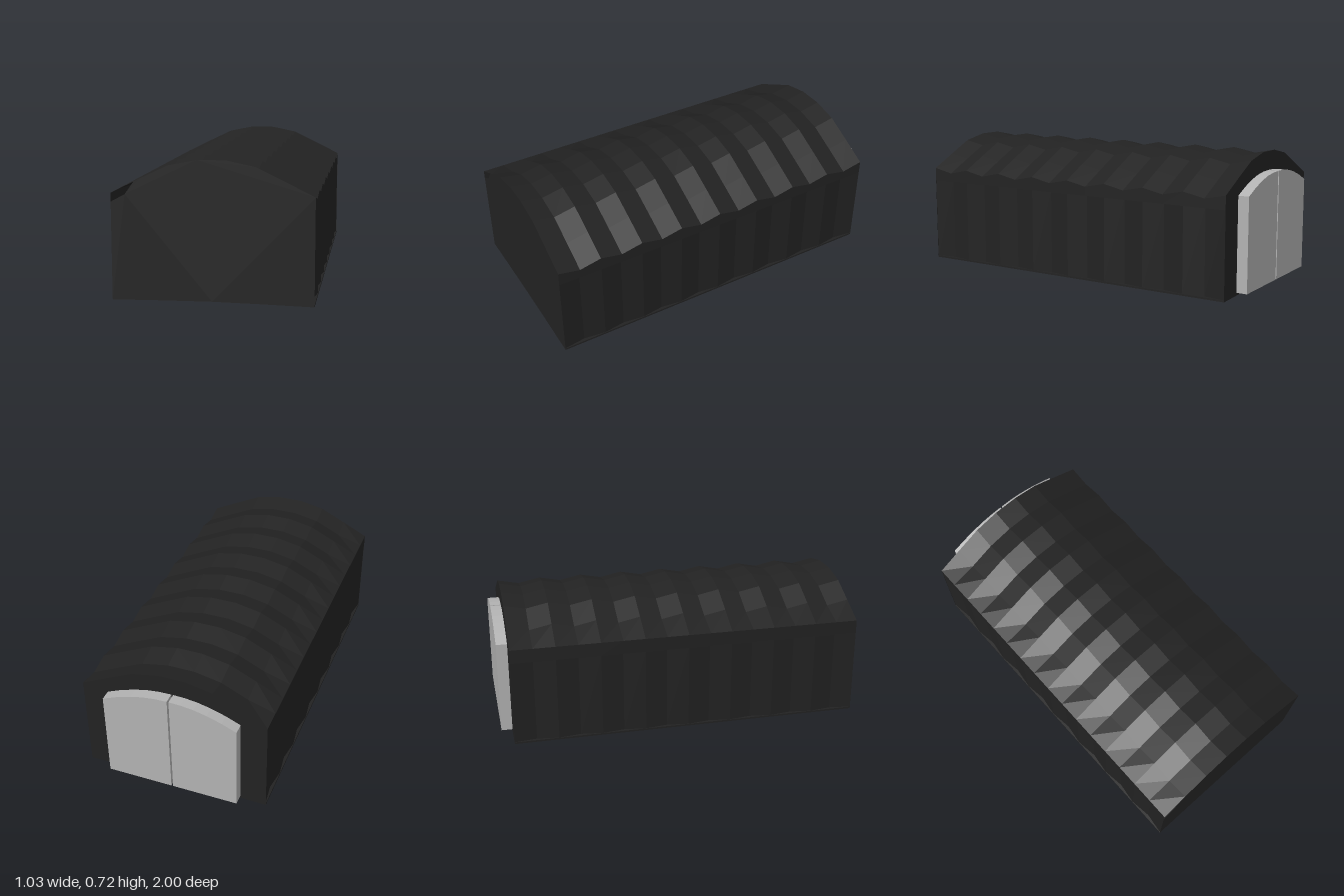
import * as THREE from 'three';

const HALF = 0.513, FRONT = 1, BACK = -0.94, WAVES = 8;
const EAVE = 0.55, BAND = 0.475, LIP = 0.012;
const ROOF = [[-HALF, EAVE], [-0.366, 0.623], [-0.22, 0.693], [-0.073, 0.723],
  [0.073, 0.723], [0.22, 0.693], [0.366, 0.623], [HALF, EAVE]];
const FLOOR = [[HALF, 0.002], [0.25, 0.007], [0, 0.01], [-0.25, 0.007], [-HALF, 0.002]];

// Faceted skin through cross-sections; section(valley) gives [x, y] points,
// valley is 0 on a ridge of the corrugation and 1 in a groove
function loft(section, rings) {
  const pos = [], index = [];
  let n = 0;
  for (let i = 0; i <= rings; i++) {
    const z = FRONT + (BACK - FRONT) * i / rings;
    const pts = section(i % 2);
    n = pts.length;
    for (const [x, y] of pts) pos.push(x, y, z);
  }
  for (let i = 0; i < rings; i++) {
    for (let j = 0; j < n - 1; j++) {
      const a = i * n + j, b = a + 1, c = a + n, d = c + 1;
      index.push(a, b, c, b, d, c);
    }
  }
  const indexed = new THREE.BufferGeometry();
  indexed.setAttribute('position', new THREE.Float32BufferAttribute(pos, 3));
  indexed.setIndex(index);
  const g = indexed.toNonIndexed();
  g.computeVertexNormals();
  return g;
}

const outline = pts => new THREE.Shape(pts.map(p => new THREE.Vector2(p[0], p[1])));

export function createModel() {
  const model = new THREE.Group();
  model.name = 'shelter';
  const shell = new THREE.MeshStandardMaterial({ color: 0x222222, side: THREE.DoubleSide });
  shell.name = 'charcoal';
  const panel = new THREE.MeshStandardMaterial({ color: 0xb2b2b2 });
  panel.name = 'light grey';

  const add = (name, geometry, material) => {
    const mesh = new THREE.Mesh(geometry, material);
    mesh.name = name;
    model.add(mesh);
    return mesh;
  };

  // Corrugated roof; one eave stays straight
  const rings = WAVES * 2;
  add('roof', loft(v => ROOF.map(([x, y], i) => [x, i === 0 ? y : y - 0.025 * v]), rings), shell);

  // Side walls: eave band, shallow vertical ribs and a thin sill
  for (const s of [1, -1]) {
    const wall = loft(v => {
      const inner = HALF - 0.002 - 0.016 * v;
      const pts = [[s * HALF, s > 0 ? EAVE - 0.025 * v : EAVE], [s * HALF, BAND],
        [s * inner, BAND], [s * inner, LIP], [s * HALF, LIP], [s * HALF, 0.002]];
      return s > 0 ? pts : pts.reverse();
    }, rings);
    add(s > 0 ? 'leftWall' : 'rightWall', wall, shell);
  }

  // Slightly arched floor
  add('floor', loft(() => FLOOR, 1), shell);

  // End walls; the front one has a small open corner under an eave
  const base = [...FLOOR].reverse();
  const roofBack = [...ROOF].reverse();
  const notch = [[-0.395, 0.608], [-0.44, 0.545], [-HALF, 0.505]];
  add('frontWall', new THREE.ShapeGeometry(outline([...base, ...roofBack.slice(0, -1), ...notch])), shell)
    .position.z = FRONT;
  const backWall = add('backWall', new THREE.ShapeGeometry(outline([...base, ...roofBack])), shell);
  backWall.rotation.y = Math.PI;
  backWall.position.z = BACK;

  // Pair of arched doors on the back
  for (const s of [1, -1]) {
    const top = [[0.005, 0.62], [0.07, 0.618], [0.14, 0.609], [0.21, 0.592], [0.29, 0.565], [0.37, 0.53]];
    const pts = [[0.37, 0.02], [0.005, 0.02], ...top].map(([x, y]) => [s * x, y]);
    const door = new THREE.ExtrudeGeometry(outline(pts), { depth: 0.06, bevelEnabled: false });
    add(s > 0 ? 'leftDoor' : 'rightDoor', door, panel).position.z = -1;
  }
  return model;
}
